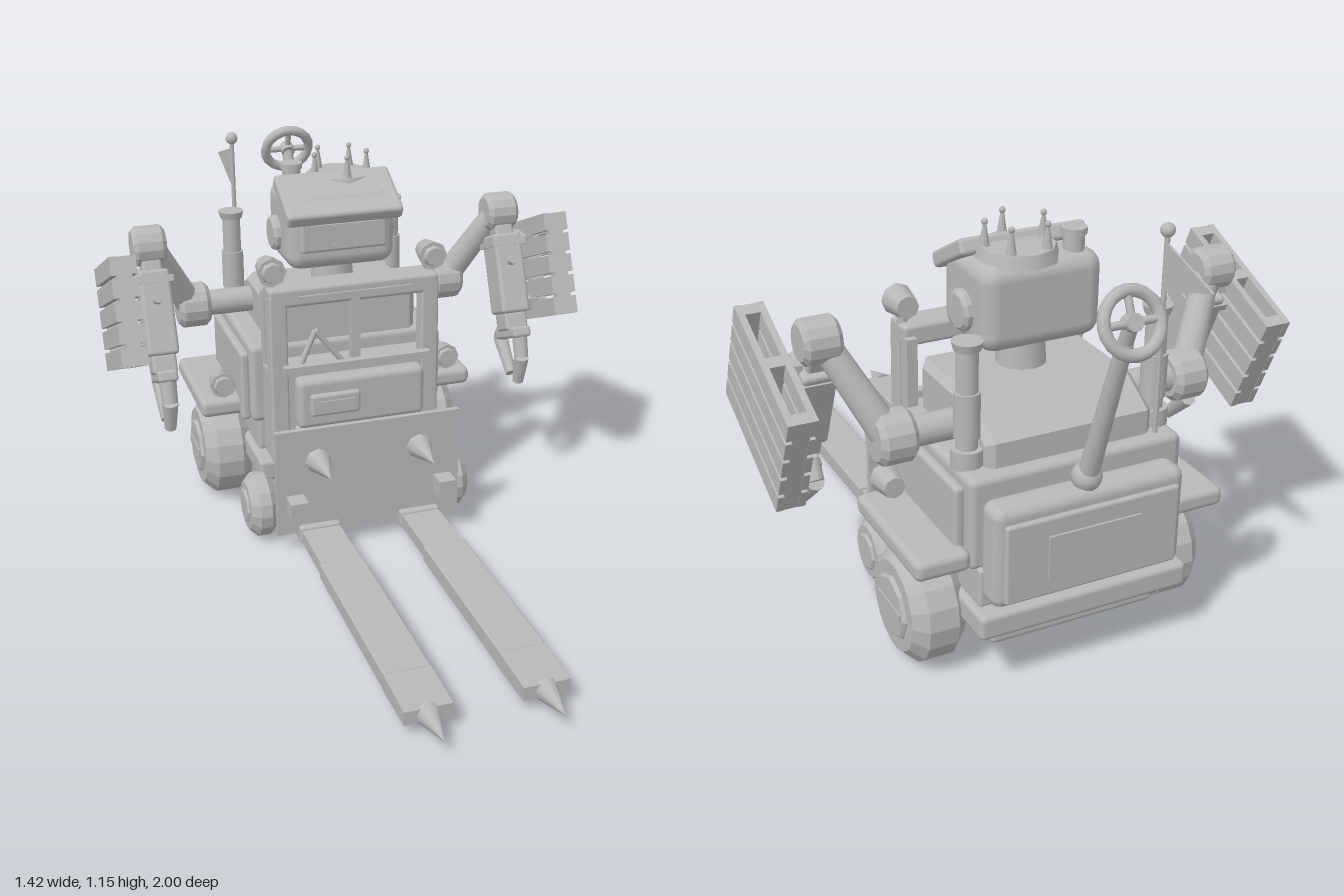
import * as THREE from 'three';
import { RoundedBoxGeometry } from 'three/addons/geometries/RoundedBoxGeometry.js';

export function createModel() {
  const root = new THREE.Group();
  const grey = new THREE.MeshStandardMaterial({ color: 0xb8b8b8 });
  grey.name = 'plain grey';
  const V = (x, y, z) => new THREE.Vector3(x, y, z);

  function add(name, geo, x = 0, y = 0, z = 0, parent = root) {
    const m = new THREE.Mesh(geo, grey);
    m.name = name;
    m.position.set(x, y, z);
    parent.add(m);
    return m;
  }
  // Box given by its limits: x range, y range, z range and an edge radius
  function block(name, x0, x1, y0, y1, z0, z1, r = 0, parent = root) {
    const w = x1 - x0, h = y1 - y0, d = z1 - z0;
    const g = r ? new RoundedBoxGeometry(w, h, d, 2, r) : new THREE.BoxGeometry(w, h, d);
    return add(name, g, (x0 + x1) / 2, (y0 + y1) / 2, (z0 + z1) / 2, parent);
  }
  // Mirrored pair of blocks, limits given for the +x side
  function pair(name, x0, x1, y0, y1, z0, z1, r = 0) {
    block(name, x0, x1, y0, y1, z0, z1, r);
    block(name, -x1, -x0, y0, y1, z0, z1, r);
  }
  // Round bar from a to b
  function rod(name, a, b, ra, rb = ra, sides = 14, parent = root) {
    const d = b.clone().sub(a);
    const m = add(name, new THREE.CylinderGeometry(rb, ra, d.length(), sides), 0, 0, 0, parent);
    m.position.copy(a).add(b).multiplyScalar(0.5);
    m.quaternion.setFromUnitVectors(V(0, 1, 0), d.normalize());
    return m;
  }
  // Turned drum along x with chamfered rims
  function drum(name, x, y, z, r, w, c, sides = 16, parent = root) {
    const p = [[0, -w / 2], [r - c, -w / 2], [r, -w / 2 + c], [r, w / 2 - c], [r - c, w / 2], [0, w / 2]];
    const g = new THREE.LatheGeometry(p.map(q => new THREE.Vector2(...q)), sides).toNonIndexed();
    g.computeVertexNormals();
    g.rotateZ(-Math.PI / 2);
    return add(name, g, x, y, z, parent);
  }

  // Chassis and body
  block('chassis', -0.3, 0.3, 0.165, 0.235, -0.82, -0.23, 0.015);
  block('bellyPan', -0.24, 0.24, 0.1, 0.17, -0.76, -0.3, 0.015);
  block('lowerBody', -0.28, 0.28, 0.23, 0.34, -0.77, -0.32, 0.01);
  block('upperBody', -0.3, 0.3, 0.33, 0.585, -0.755, -0.31, 0.02);
  block('counterweight', -0.27, 0.27, 0.25, 0.53, -0.83, -0.74, 0.03);
  block('rearPanel', -0.245, 0.245, 0.27, 0.49, -0.842, -0.82, 0.008);
  block('rearHatch', -0.13, 0.13, 0.32, 0.44, -0.848, -0.84);
  pair('sidePanel', 0.295, 0.325, 0.33, 0.555, -0.72, -0.34, 0.012);

  // Engine hood, sloping down to the rear
  const hood = new THREE.Shape([[-0.7, 0.58], [-0.34, 0.58], [-0.34, 0.7], [-0.6, 0.7], [-0.7, 0.64]].map(p => new THREE.Vector2(...p)));
  const hoodGeo = new THREE.ExtrudeGeometry(hood, { depth: 0.43, bevelSize: 0.02, bevelThickness: 0.02, bevelSegments: 1 });
  hoodGeo.translate(0, 0, -0.215).rotateY(-Math.PI / 2);
  add('hood', hoodGeo);

  // Cab frame
  pair('cabPost', 0.21, 0.265, 0.24, 0.78, -0.25, -0.195, 0.008);
  block('cabRoofBar', -0.265, 0.265, 0.74, 0.8, -0.29, -0.195, 0.012);
  block('roofTrim', -0.18, 0.18, 0.755, 0.775, -0.197, -0.188);
  block('cabMullion', -0.014, 0.014, 0.53, 0.75, -0.22, -0.195);
  block('cabSill', -0.23, 0.23, 0.54, 0.56, -0.2, -0.17);
  block('cabFront', -0.265, 0.265, 0.24, 0.54, -0.31, -0.2, 0.01);
  pair('cabRearPost', 0.235, 0.265, 0.54, 0.77, -0.31, -0.27);
  rod('wiper', V(-0.17, 0.56, -0.2), V(-0.125, 0.66, -0.2), 0.009);
  rod('wiper', V(-0.045, 0.555, -0.2), V(-0.125, 0.66, -0.2), 0.009);

  // Mast panel, grille and load plate
  block('dashPanel', -0.2, 0.2, 0.37, 0.53, -0.19, -0.13, 0.02);
  block('grille', -0.165, -0.01, 0.415, 0.485, -0.14, -0.115, 0.01);
  block('grilleInset', -0.145, -0.03, 0.435, 0.465, -0.117, -0.11);
  block('mast', -0.2, 0.2, 0.06, 0.37, -0.185, -0.13, 0.01);
  for (const y of [0.1, 0.2, 0.3]) block('mastRung', -0.25, 0.25, y - 0.02, y + 0.02, -0.14, -0.085);
  block('loadPlate', -0.29, 0.29, 0.06, 0.4, -0.088, -0.07);

  // Forks, plate spikes, wheels, lamps and exhausts
  for (const s of [-1, 1]) {
    const x = s * 0.16;
    block('fork', x - 0.06, x + 0.06, 0.035, 0.075, -0.14, 0.19);
    block('forkBracket', x - 0.065, x + 0.065, 0.03, 0.085, -0.14, -0.05, 0.01);
    block('forkSleeve', x - 0.066, x + 0.066, 0.03, 0.082, 0.155, 0.73, 0.006);
    const tip = block('forkTip', x - 0.065, x + 0.065, 0.028, 0.078, 0.72, 0.89);
    const p = tip.geometry.attributes.position;
    for (let i = 0; i < p.count; i++) if (p.getZ(i) > 0) p.setY(i, p.getY(i) * 0.8);
    tip.geometry.computeVertexNormals();
    rod('forkSpike', V(x, 0.05, 0.88), V(x, 0.05, 1), 0.034, 0, 10);
    drum('forkRoller', x, 0.03, 0.57, 0.03, 0.075, 0.006);
    rod('plateSpike', V(x, 0.295, -0.07), V(x, 0.295, 0.06), 0.04, 0, 8);
    block('plateStud', s * 0.235 - 0.027, s * 0.235 + 0.027, 0.135, 0.19, -0.075, -0.01);

    drum('rearTire', s * 0.35, 0.158, -0.565, 0.157, 0.15, 0.035, 18);
    drum('rearHub', s * 0.42, 0.158, -0.565, 0.09, 0.03, 0.008, 8);
    block('hubBar', s * 0.433 - 0.006, s * 0.433 + 0.006, 0.143, 0.173, -0.635, -0.495);
    drum('frontTire', s * 0.31, 0.102, -0.215, 0.1, 0.085, 0.025, 16);
    drum('frontHub', s * 0.35, 0.102, -0.215, 0.055, 0.02, 0.006, 8);

    rod('fenderLamp', V(s * 0.37, 0.435, -0.46), V(s * 0.37, 0.435, -0.39), 0.03, 0.042, 8);
    rod('fenderLampLens', V(s * 0.37, 0.435, -0.39), V(s * 0.37, 0.435, -0.38), 0.032, 0.028, 8);
    rod('roofLamp', V(s * 0.25, 0.85, -0.285), V(s * 0.25, 0.85, -0.21), 0.032, 0.044, 8);
    rod('roofLampLens', V(s * 0.25, 0.85, -0.21), V(s * 0.25, 0.85, -0.198), 0.033, 0.028, 8);
    rod('roofLampFoot', V(s * 0.25, 0.78, -0.245), V(s * 0.25, 0.83, -0.245), 0.015);

    rod('exhaustFoot', V(s * 0.265, 0.58, -0.662), V(s * 0.265, 0.63, -0.662), 0.042);
    rod('exhaustPipe', V(s * 0.265, 0.6, -0.662), V(s * 0.265, 0.9, -0.662), 0.028);
    rod('exhaustSleeve', V(s * 0.265, 0.66, -0.662), V(s * 0.265, 0.78, -0.662), 0.034);
    rod('exhaustCap', V(s * 0.265, 0.89, -0.662), V(s * 0.265, 0.912, -0.662), 0.034, 0.04);
  }
  pair('fender', 0.295, 0.445, 0.338, 0.395, -0.76, -0.37, 0.02);
  rod('rearAxle', V(-0.3, 0.158, -0.565), V(0.3, 0.158, -0.565), 0.04);
  rod('frontAxle', V(-0.29, 0.102, -0.215), V(0.29, 0.102, -0.215), 0.03);

  // Head with visor, ears and screen
  rod('neck', V(0, 0.69, -0.44), V(0, 0.82, -0.44), 0.07, 0.06);
  block('head', -0.17, 0.17, 0.803, 1.035, -0.565, -0.315, 0.045);
  block('screenFrame', -0.135, 0.135, 0.865, 0.968, -0.325, -0.3, 0.01);
  block('screen', -0.105, 0.105, 0.88, 0.952, -0.302, -0.293);
  for (const y of [0.882, 0.942]) for (const x of [-0.035, 0.035])
    block('screenStud', x - 0.005, x + 0.005, y, y + 0.008, -0.294, -0.288);
  for (const s of [-1, 1]) drum('ear', s * 0.175, 0.895, -0.45, 0.055, 0.035, 0.01, 12);
  add('visor', new RoundedBoxGeometry(0.36, 0.045, 0.19, 2, 0.012), 0, 1.015, -0.365).rotation.x = 0.5;
  rod('headCap', V(-0.105, 1.02, -0.51), V(-0.105, 1.08, -0.51), 0.028);
  rod('headCapRim', V(-0.105, 1.075, -0.51), V(-0.105, 1.092, -0.51), 0.034);
  rod('crownBase', V(0.04, 1.025, -0.48), V(0.04, 1.06, -0.48), 0.11, 0.1, 10);
  for (const [x, z] of [[-0.045, -0.46], [-0.01, -0.545], [0.04, -0.4], [0.09, -0.545], [0.12, -0.46]]) {
    rod('crownSpike', V(x, 1.05, z), V(x, 1.12, z), 0.016, 0.004, 8);
    add('crownBead', new THREE.SphereGeometry(0.009, 8, 6), x, 1.122, z);
  }

  // Steering column and wheel at the rear
  add('columnBall', new THREE.SphereGeometry(0.04, 12, 8), 0, 0.55, -0.79);
  rod('steeringColumn', V(0, 0.54, -0.79), V(0, 0.965, -0.93), 0.027, 0.02);
  const wheel = new THREE.Group();
  wheel.name = 'steeringWheel';
  wheel.position.set(0, 1.02, -0.953);
  wheel.quaternion.setFromUnitVectors(V(0, 0, 1), V(0, 0.41, -0.91).normalize());
  add('rim', new THREE.TorusGeometry(0.074, 0.016, 8, 20), 0, 0, 0, wheel);
  rod('spoke', V(-0.07, 0, 0), V(0.07, 0, 0), 0.01, 0.01, 8, wheel);
  rod('spoke', V(0, -0.07, 0), V(0, 0.01, 0), 0.01, 0.01, 8, wheel);
  rod('wheelHub', V(0, 0, -0.02), V(0, 0, 0.015), 0.022, 0.022, 12, wheel);
  root.add(wheel);
  rod('columnTop', V(0, 0.95, -0.925), V(0, 1.02, -0.95), 0.018);

  // Pennant
  rod('flagPole', V(-0.24, 0.57, -0.72), V(-0.24, 1.13, -0.72), 0.007, 0.007, 8);
  add('flagBall', new THREE.SphereGeometry(0.019, 12, 8), -0.24, 1.128, -0.72);
  const flag = new THREE.Shape([[-0.725, 0.97], [-0.725, 1.095], [-0.92, 1.035]].map(p => new THREE.Vector2(...p)));
  const flagGeo = new THREE.ExtrudeGeometry(flag, { depth: 0.006, bevelEnabled: false });
  add('flag', flagGeo.translate(0, 0, -0.003).rotateY(-Math.PI / 2), -0.24);

  // Arms with claws, each carrying a slatted pallet
  for (const s of [-1, 1]) {
    const arm = new THREE.Group();
    arm.name = s > 0 ? 'leftArm' : 'rightArm';
    root.add(arm);
    const x = s * 0.565;
    rod('shoulderBar', V(s * 0.2, 0.648, -0.565), V(s * 0.4, 0.648, -0.565), 0.04, 0.04, 14, arm);
    drum('shoulder', s * 0.42, 0.648, -0.565, 0.07, 0.1, 0.015, 14, arm);
    rod('upperArm', V(s * 0.435, 0.66, -0.56), V(s * 0.55, 0.88, -0.465), 0.042, 0.036, 14, arm);
    drum('elbow', x, 0.89, -0.46, 0.06, 0.1, 0.013, 14, arm);

    const fore = new THREE.Group();
    fore.name = 'forearm';
    fore.position.set(x, 0.7, -0.38);
    fore.rotation.x = -0.4;
    arm.add(fore);
    block('forearmCase', -0.047, 0.047, -0.125, 0.13, -0.055, 0.055, 0.012, fore);
    block('elbowLink', -0.03, 0.03, 0.1, 0.21, -0.035, 0.035, 0.01, fore);
    block('forearmBand', -0.055, 0.055, 0.09, 0.11, -0.06, 0.06, 0, fore);
    rod('forearmBolt', V(0, 0.04, 0.05), V(0, 0.04, 0.075), 0.016, 0.012, 8, fore);
    block('wrist', -0.037, 0.037, -0.18, -0.12, -0.045, 0.045, 0.01, fore);
    block('palm', -0.03, 0.03, -0.205, -0.17, -0.08, 0.08, 0.01, fore);

    // Pincer fingers
    for (const [ya, za, yb, zb, yc, zc] of [[0.55, -0.26, 0.47, -0.235, 0.38, -0.255], [0.52, -0.37, 0.475, -0.405, 0.385, -0.31]]) {
      rod('fingerBase', V(x, ya, za), V(x, yb, zb), 0.026, 0.024, 8, arm);
      rod('fingerTip', V(x, yb, zb), V(x, yc, zc), 0.025, 0.018, 8, arm);
    }

    // Pallet: slats run lengthwise, three bearers run across
    const pallet = new THREE.Group();
    pallet.name = 'pallet';
    pallet.position.set(s * 0.67, 0.705, -0.39);
    pallet.rotation.x = -0.405;
    arm.add(pallet);
    for (let i = 0; i < 5; i++) {
      const y = (i - 2) * 0.0655;
      for (const k of [-0.029, 0.029])
        block('palletSlat', k - 0.009, k + 0.009, y - 0.027, y + 0.027, -0.203, 0.203, 0, pallet);
    }
    for (const z of [-0.185, 0, 0.185])
      block('palletBearer', -0.022, 0.022, -0.157, 0.157, z - 0.017, z + 0.017, 0, pallet);
    const a = s * 0.6, b = s * 0.65;
    block('palletGrip', Math.min(a, b), Math.max(a, b), 0.595, 0.635, -0.37, -0.31, 0, arm);
    block('palletGrip', Math.min(a, b), Math.max(a, b), 0.8, 0.825, -0.45, -0.37, 0, arm);
  }
  return root;
}
